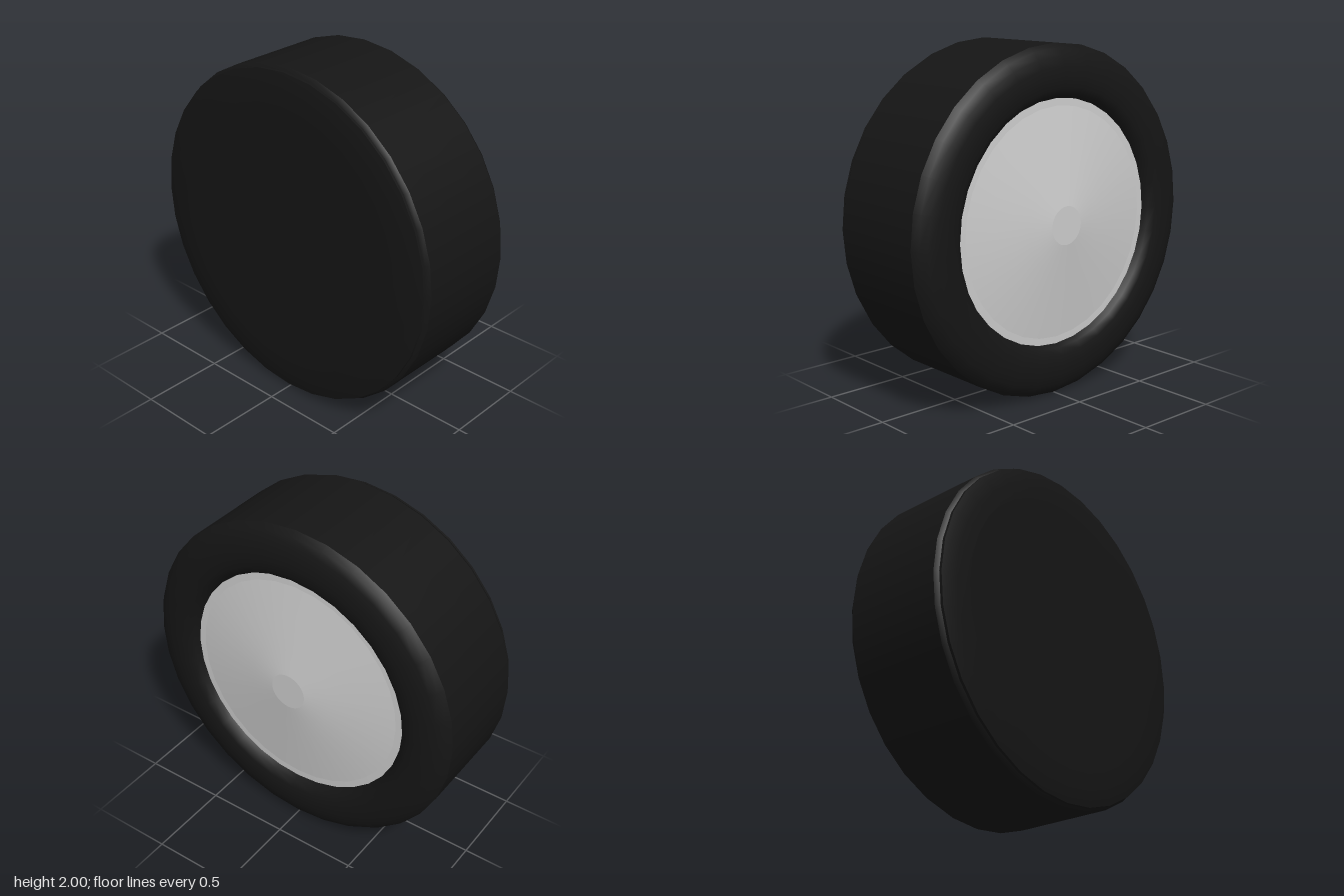
import * as THREE from 'three';

const SIDES = 32;

// Turns a [radius, z] profile, listed from back to front, around the wheel axis (z)
function turned(name, profile, material) {
  const points = profile.map(([r, z]) => new THREE.Vector2(r, z));
  const geometry = new THREE.LatheGeometry(points, SIDES).rotateX(Math.PI / 2);
  const mesh = new THREE.Mesh(geometry, material);
  mesh.name = name;
  return mesh;
}

export function createModel() {
  const wheel = new THREE.Group();
  wheel.name = 'wheel';

  const rubber = new THREE.MeshStandardMaterial({ color: 0x151515, side: THREE.DoubleSide });
  const metal = new THREE.MeshStandardMaterial({ color: 0xcccccc, side: THREE.DoubleSide });

  // Rounded back sidewall, dipping inward to meet the rim
  wheel.add(turned('backSidewall', [
    [0.70, -0.30], [0.72, -0.335], [0.76, -0.357], [0.82, -0.362],
    [0.88, -0.357], [0.935, -0.342], [0.975, -0.318], [1, -0.285],
  ], rubber));

  // Straight tread
  wheel.add(turned('tread', [[1, -0.285], [1, 0.315]], rubber));

  // Front shoulder tucked under the front cover
  wheel.add(turned('frontShoulder', [[1, 0.315], [0.985, 0.338], [0.95, 0.35]], rubber));

  // Front cover: short edge, gently curved border, flat face
  wheel.add(turned('frontCoverEdge', [[0.982, 0.33], [0.982, 0.355]], rubber));
  wheel.add(turned('frontCoverBorder', [
    [0.982, 0.355], [0.95, 0.363], [0.89, 0.374], [0.80, 0.38],
  ], rubber));
  wheel.add(turned('frontCoverFace', [[0.80, 0.38], [0, 0.38]], rubber));

  // Hubcap on the back: centre disc, shallow cone and rim band
  wheel.add(turned('hubCentre', [[0, -0.384], [0.11, -0.384]], metal));
  wheel.add(turned('hubCone', [[0.11, -0.384], [0.27, -0.361], [0.66, -0.305]], metal));
  wheel.add(turned('hubRim', [[0.66, -0.305], [0.705, -0.303]], metal));

  wheel.position.y = 1;
  const model = new THREE.Group();
  model.name = 'wheelModel';
  model.add(wheel);
  return model;
}
